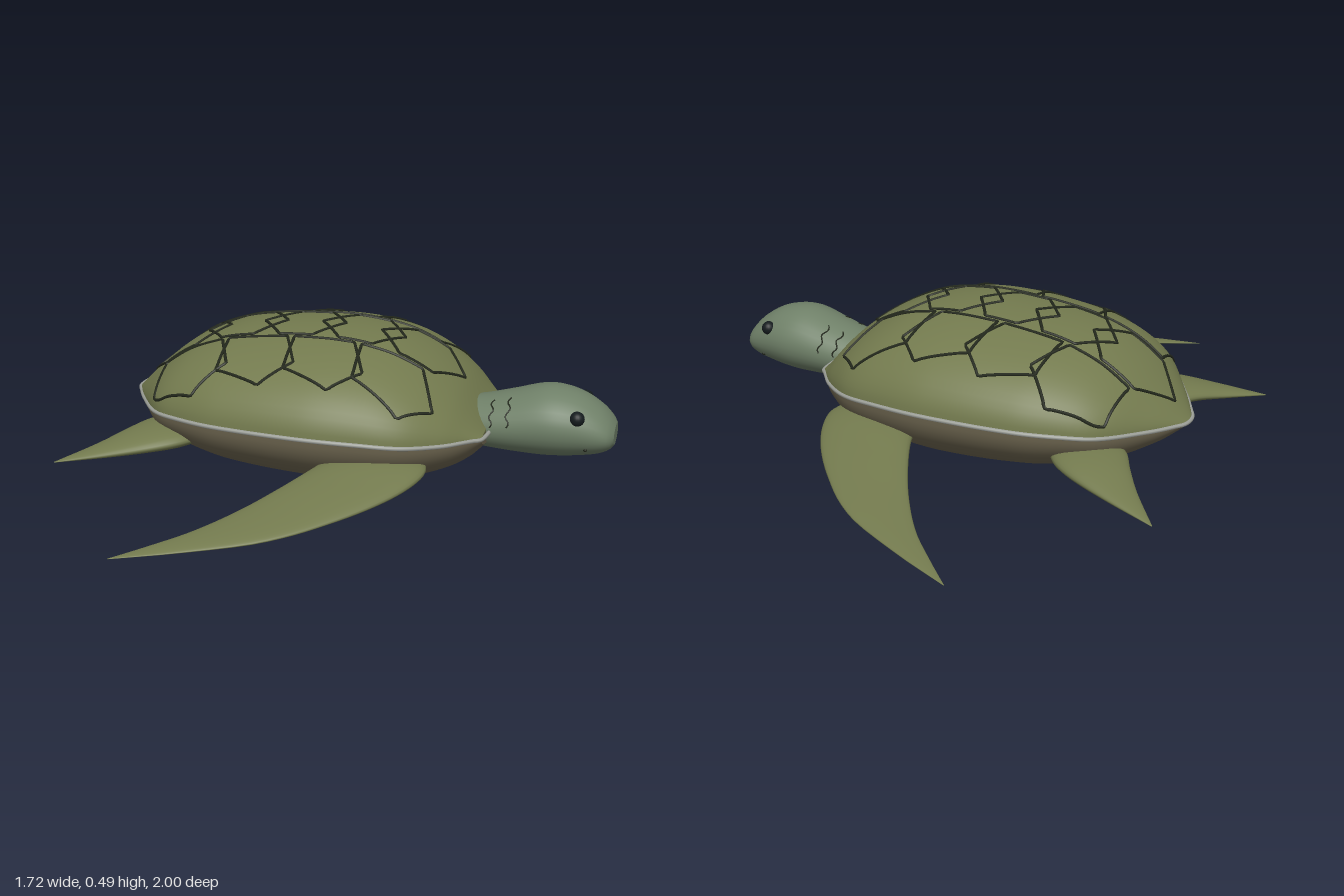
import * as THREE from 'three';

const mat = (color, roughness = 0.8) => new THREE.MeshStandardMaterial({ color, roughness });
const olive = mat(0x737a4e), belly = mat(0x6e6650), skin = mat(0x6f8068);
const line = mat(0x23281c), rimGrey = mat(0xa0a39c), eyeDark = mat(0x151c1e, 0.3);

// Smooth lookup in a table whose first column is the parameter
function sample(rows, t) {
  const n = rows.length - 1;
  let i = 0;
  while (i < n - 1 && t > rows[i + 1][0]) i++;
  const slope = (k, c) => {
    const a = rows[Math.max(k - 1, 0)], b = rows[Math.min(k + 1, n)];
    return (b[c] - a[c]) / (b[0] - a[0]);
  };
  const h = rows[i + 1][0] - rows[i][0], u = (t - rows[i][0]) / h, v = 1 - u;
  return rows[i].map((p, c) =>
    p * v * v * (1 + 2 * u) + rows[i + 1][c] * u * u * (3 - 2 * u) +
    h * u * v * (v * slope(i, c) - u * slope(i + 1, c)));
}

// Skin rings of [x, y, z]; closed rings join up smoothly, ends may be capped
function loft(rings, closed, capped) {
  const pos = rings.flat(2), idx = [], n = rings[0].length;
  for (let i = 0; i < rings.length - 1; i++) {
    for (let j = 0; j < (closed ? n : n - 1); j++) {
      const k = (j + 1) % n, a = i * n + j, d = i * n + k;
      idx.push(a, a + n, d + n, a, d + n, d);
    }
  }
  if (capped) {
    [rings[0], rings[rings.length - 1]].forEach((ring, end) => {
      const base = pos.length / 3;
      pos.push(...ring.flat(), ...[0, 1, 2].map(c => ring.reduce((s, p) => s + p[c], 0) / n));
      for (let j = 0; j < n; j++) {
        const k = (j + 1) % n;
        idx.push(base + n, base + (end ? k : j), base + (end ? j : k));
      }
    });
  }
  const g = new THREE.BufferGeometry();
  g.setAttribute('position', new THREE.Float32BufferAttribute(pos, 3));
  g.setIndex(idx);
  g.computeVertexNormals();
  return g;
}

const steps = (a, b, n) => Array.from({ length: n + 1 }, (_, i) => a + (b - a) * i / n);
const ringAngles = steps(0, Math.PI * 2, 32).slice(0, 32);

// Shell stations: x, half width, rim height, top, bottom
const SHELL = [
  [-0.77, 0.03, 0.2, 0.205, 0.19], [-0.74, 0.09, 0.204, 0.235, 0.165], [-0.7, 0.16, 0.21, 0.275, 0.135],
  [-0.6, 0.305, 0.225, 0.362, 0.085], [-0.5, 0.372, 0.235, 0.42, 0.055], [-0.35, 0.425, 0.242, 0.461, 0.022],
  [-0.07, 0.455, 0.245, 0.482, 0.002], [0.12, 0.435, 0.238, 0.462, 0.01], [0.25, 0.395, 0.226, 0.412, 0.033],
  [0.36, 0.31, 0.213, 0.335, 0.068], [0.42, 0.24, 0.206, 0.265, 0.105], [0.46, 0.19, 0.2, 0.212, 0.15],
];

// Head and neck stations: x, centre height, half height, half width
const HEAD = [
  [0.36, 0.195, 0.075, 0.095], [0.43, 0.198, 0.083, 0.112], [0.52, 0.207, 0.098, 0.126],
  [0.62, 0.22, 0.114, 0.136], [0.68, 0.222, 0.113, 0.136], [0.75, 0.217, 0.1, 0.123],
  [0.81, 0.205, 0.076, 0.105], [0.845, 0.196, 0.05, 0.085], [0.858, 0.193, 0.032, 0.06],
];

// Flipper stations: t, leading x, z, trailing x, z, height, half thickness
const FRONT_FLIPPER = [
  [0, 0.3, 0.27, 0.02, 0.3, 0.145, 0.03], [0.2, 0.32, 0.38, -0.02, 0.43, 0.14, 0.036],
  [0.4, 0.26, 0.52, -0.09, 0.57, 0.12, 0.028], [0.6, 0.13, 0.68, -0.17, 0.7, 0.097, 0.02],
  [0.8, -0.05, 0.835, -0.27, 0.83, 0.076, 0.012], [0.92, -0.27, 0.935, -0.37, 0.925, 0.06, 0.006],
  [1, -0.45, 1, -0.452, 0.998, 0.048, 0.001],
];
const REAR_FLIPPER = [
  [0, -0.42, 0.28, -0.58, 0.16, 0.152, 0.03], [0.3, -0.48, 0.375, -0.655, 0.22, 0.152, 0.036],
  [0.5, -0.56, 0.43, -0.7, 0.3, 0.145, 0.03], [0.75, -0.7, 0.48, -0.765, 0.4, 0.125, 0.017],
  [1, -0.858, 0.525, -0.86, 0.522, 0.103, 0.001],
];

const shellPoint = (x, z) => {
  const [, w, rim, top] = sample(SHELL, x);
  const k = THREE.MathUtils.clamp(z / w, -0.965, 0.965);
  return new THREE.Vector3(x, rim + (top - rim) * Math.sqrt(1 - k * k) + 0.001, k * w);
};

const tube = (pts, radius, closed, segments) => new THREE.TubeGeometry(
  new THREE.CatmullRomCurve3(pts, closed, 'centripetal'), segments, radius, 6, closed);

// Closed plan outline draped over the carapace
function scute(corners) {
  const pts = [];
  corners.forEach(([x, z], i) => {
    const [x2, z2] = corners[(i + 1) % corners.length];
    for (let s = 0; s < 8; s++) pts.push(shellPoint(x + (x2 - x) * s / 8, z + (z2 - z) * s / 8));
  });
  return tube(pts, 0.005, true, pts.length * 2);
}

function flipper(rows, side) {
  const rings = steps(0, 1, 32).map(t => {
    const [, lx, lz, tx, tz, y, h] = sample(rows, t);
    return ringAngles.map(a => {
      const c = Math.cos(a) / 2;
      return [(lx + tx) / 2 + (lx - tx) * c, y - side * h * Math.sin(a), side * ((lz + tz) / 2 + (lz - tz) * c)];
    });
  });
  return loft(rings, true, true);
}

export function createModel() {
  const turtle = new THREE.Group();
  turtle.name = 'seaTurtle';
  const add = (name, geometry, material) => {
    const mesh = new THREE.Mesh(geometry, material);
    mesh.name = name;
    turtle.add(mesh);
    return mesh;
  };

  // Carapace and plastron meet at a sharp rim
  const xs = steps(-0.77, 0.46, 60);
  const half = (from, to, col) => loft(xs.map(x => {
    const s = sample(SHELL, x);
    return steps(from, to, 32).map(a =>
      [x, s[2] + Math.abs(s[col] - s[2]) * Math.sin(a), s[1] * Math.cos(a)]);
  }), false, true);
  add('carapace', half(0, Math.PI, 3), olive);
  add('plastron', half(Math.PI, Math.PI * 2, 4), belly);

  // Pale band round the rim
  const edge = side => xs.map(x => {
    const [, w, rim] = sample(SHELL, x);
    return new THREE.Vector3(x, rim, side * w);
  });
  add('shellRim', tube([...edge(1), ...edge(-1).reverse()], 0.007, true, 260), rimGrey);

  // Central row of overlapping hexagons
  for (let i = 0; i < 5; i++) {
    const a = -0.72 + i * 0.201, b = a + 0.28;
    add('centralScute', scute([[a, 0], [a + 0.09, 0.122], [b - 0.08, 0.122], [b, 0],
      [b - 0.08, -0.122], [a + 0.09, -0.122]]), line);
  }

  for (const side of [1, -1]) {
    const label = side > 0 ? 'left' : 'right';
    // Outer row of five-sided scutes
    for (let i = 0; i < 4; i++) {
      const c = -0.505 + i * 0.225;
      add(label + 'SideScute', scute([[c - 0.115, 0.14], [c - 0.1, 0.305], [c + 0.06, 0.366],
        [c + 0.15, 0.28], [c + 0.085, 0.14]].map(([x, z]) => [x, z * side])), line);
    }
    add(label + 'FrontFlipper', flipper(FRONT_FLIPPER, side), olive);
    add(label + 'RearFlipper', flipper(REAR_FLIPPER, side), olive);

    // Eye and mouth corner
    const eye = add(label + 'Eye', new THREE.SphereGeometry(0.024, 20, 14), eyeDark);
    eye.position.set(0.745, 0.268, side * 0.103);
    const mouth = add(label + 'MouthCorner', new THREE.SphereGeometry(0.006, 10, 8), line);
    mouth.position.set(0.775, 0.165, side * 0.1);

    // Fine creases on the neck
    for (const x of [0.47, 0.525]) {
      const pts = steps(0.15, 1.15, 10).map((a, i) => {
        const cx = x + 0.006 * Math.sin(i * 1.3), [, y, h, w] = sample(HEAD, cx);
        return new THREE.Vector3(cx, y + h * Math.sin(a), side * w * Math.cos(a));
      });
      add(label + 'NeckCrease', tube(pts, 0.0025, false, 24), line);
    }
  }

  // Head and neck in one smooth skin
  add('head', loft(steps(0.36, 0.858, 48).map(x => {
    const [, y, h, w] = sample(HEAD, x);
    return ringAngles.map(a => [x, y + h * Math.sin(a), w * Math.cos(a)]);
  }), true, true), skin);

  return turtle;
}
